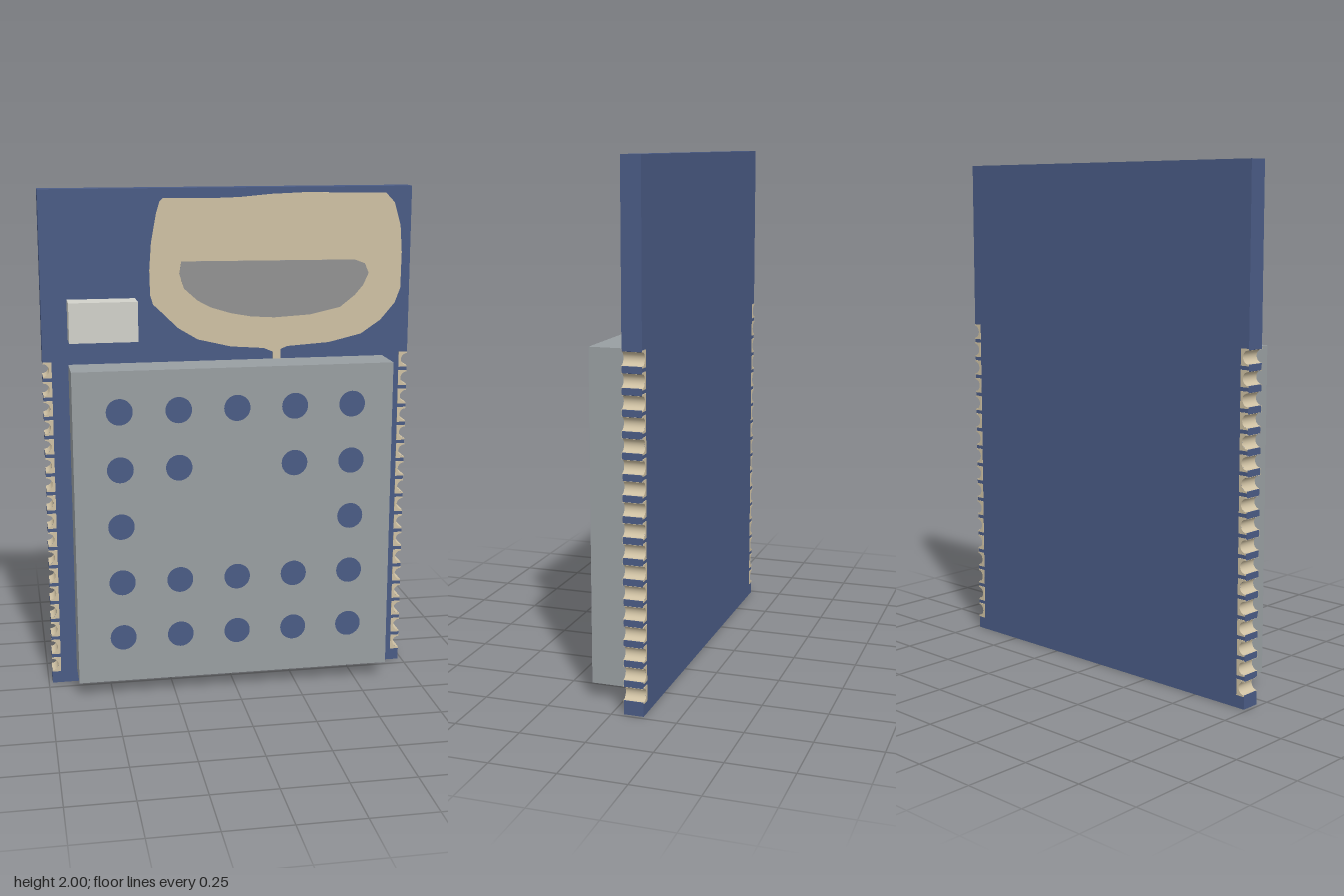
import * as THREE from 'three';

const mat = (color, side = THREE.FrontSide) => new THREE.MeshStandardMaterial({ color, side });
const blue = mat(0x4a5b85);
const gold = mat(0xcfc1a3, THREE.DoubleSide);
const shieldGrey = mat(0x989ea1);
const patchGrey = mat(0x919191);
const chipGrey = mat(0xd1d1ca);

// Board: half width, height, back and front faces, castellation radius
const W = 0.735, H = 2, BACK = -0.12, FRONT = -0.045, R = 0.026;
const padYs = Array.from({ length: 17 }, (_, i) => 0.08 + i * 0.0766);

function add(parent, name, geometry, material, x = 0, y = 0, z = 0) {
  const mesh = new THREE.Mesh(geometry, material);
  mesh.name = name;
  mesh.position.set(x, y, z);
  parent.add(mesh);
  return mesh;
}

const extrude = (shape, depth) =>
  new THREE.ExtrudeGeometry(shape, { depth, bevelEnabled: false, curveSegments: 12 });

// Box given by its x, y and z limits
function block(parent, name, material, [x0, x1], [y0, y1], [z0, z1]) {
  return add(parent, name, new THREE.BoxGeometry(x1 - x0, y1 - y0, z1 - z0), material,
    (x0 + x1) / 2, (y0 + y1) / 2, (z0 + z1) / 2);
}

const outline = (pts) => new THREE.Shape(pts.map(([x, y]) => new THREE.Vector2(x, y)));

// Outline with half-round notches down both long edges
function boardShape() {
  const s = new THREE.Shape();
  s.moveTo(-W, 0);
  s.lineTo(W, 0);
  for (const y of padYs) {
    s.lineTo(W, y - R);
    s.absarc(W, y, R, -Math.PI / 2, Math.PI / 2, true);
  }
  s.lineTo(W, H);
  s.lineTo(-W, H);
  for (const y of [...padYs].reverse()) {
    s.lineTo(-W, y + R);
    s.absarc(-W, y, R, Math.PI / 2, -Math.PI / 2, true);
  }
  s.closePath();
  return s;
}

// Small rectangular contact with a half-round bite on its outer edge
function padShape() {
  const s = new THREE.Shape(), h = 0.031, r = R - 0.001;
  s.moveTo(-0.035, -h);
  s.lineTo(0, -h);
  s.lineTo(0, -r);
  s.absarc(0, 0, r, -Math.PI / 2, Math.PI / 2, true);
  s.lineTo(0, h);
  s.lineTo(-0.035, h);
  s.closePath();
  return s;
}

export function createModel() {
  const model = new THREE.Group();
  model.name = 'wirelessModule';

  add(model, 'circuitBoard', extrude(boardShape(), FRONT - BACK), blue, 0, 0, BACK);

  // Plated edge contacts: front and back pads joined by a half-round lining
  const padGeo = extrude(padShape(), 0.002);
  const liningGeo = new THREE.CylinderGeometry(R - 0.001, R - 0.001, FRONT - BACK, 12, 1, true, Math.PI, Math.PI);
  liningGeo.rotateX(Math.PI / 2);
  for (const side of [1, -1]) {
    for (const y of padYs) {
      const contact = new THREE.Group();
      contact.name = side > 0 ? 'leftEdgeContact' : 'rightEdgeContact';
      contact.position.set(side * W, y, 0);
      if (side < 0) contact.rotation.z = Math.PI;
      add(contact, 'frontPad', padGeo, gold, 0, 0, FRONT);
      add(contact, 'backPad', padGeo, gold, 0, 0, BACK - 0.002);
      add(contact, 'lining', liningGeo, gold, 0, 0, (FRONT + BACK) / 2);
      model.add(contact);
    }
  }

  // Shield can with a grid of round openings, four left out
  block(model, 'shieldCan', shieldGrey, [-0.635, 0.63], [0.06, 1.325], [FRONT, 0.12]);
  const holeGeo = new THREE.CircleGeometry(0.052, 32);
  const skipped = ['2,1', '1,2', '2,2', '3,2'];
  for (let row = 0; row < 5; row++) {
    for (let col = 0; col < 5; col++) {
      if (skipped.includes(`${col},${row}`)) continue;
      add(model, 'shieldHole', holeGeo, blue, -0.455 + col * 0.23, 1.165 - row * 0.23, 0.1215);
    }
  }

  block(model, 'chip', chipGrey, [-0.635, -0.37], [1.425, 1.58], [FRONT, 0.06]);

  // Printed antenna with a feed tab down to the shield
  const antenna = outline([
    [-0.257, 1.963], [-0.07, 1.96], [0.04, 1.963], [0.17, 1.974], [0.3, 1.979], [0.63, 1.974],
    [0.666, 1.936], [0.692, 1.846], [0.7, 1.74], [0.698, 1.597], [0.676, 1.538], [0.618, 1.47],
    [0.538, 1.416], [0.406, 1.385], [0.236, 1.374], [0.21, 1.363], [0.21, 1.32], [0.178, 1.32],
    [0.178, 1.353], [0.14, 1.369], [0.008, 1.379], [-0.125, 1.411], [-0.204, 1.459],
    [-0.257, 1.512], [-0.3, 1.553], [-0.311, 1.59], [-0.313, 1.687], [-0.305, 1.793],
    [-0.284, 1.905], [-0.27, 1.95],
  ]);
  add(model, 'antenna', extrude(antenna, 0.002), gold, 0, 0, FRONT);

  // Grey window inside the antenna
  const patch = outline([
    [-0.188, 1.719], [0.507, 1.714], [0.549, 1.698], [0.565, 1.66], [0.544, 1.613],
    [0.51, 1.573], [0.45, 1.526], [0.326, 1.499], [0.183, 1.491], [0.09, 1.497], [0.008, 1.512],
    [-0.07, 1.536], [-0.125, 1.565], [-0.178, 1.613], [-0.196, 1.671],
  ]);
  add(model, 'antennaWindow', extrude(patch, 0.004), patchGrey, 0, 0, FRONT);

  return model;
}
